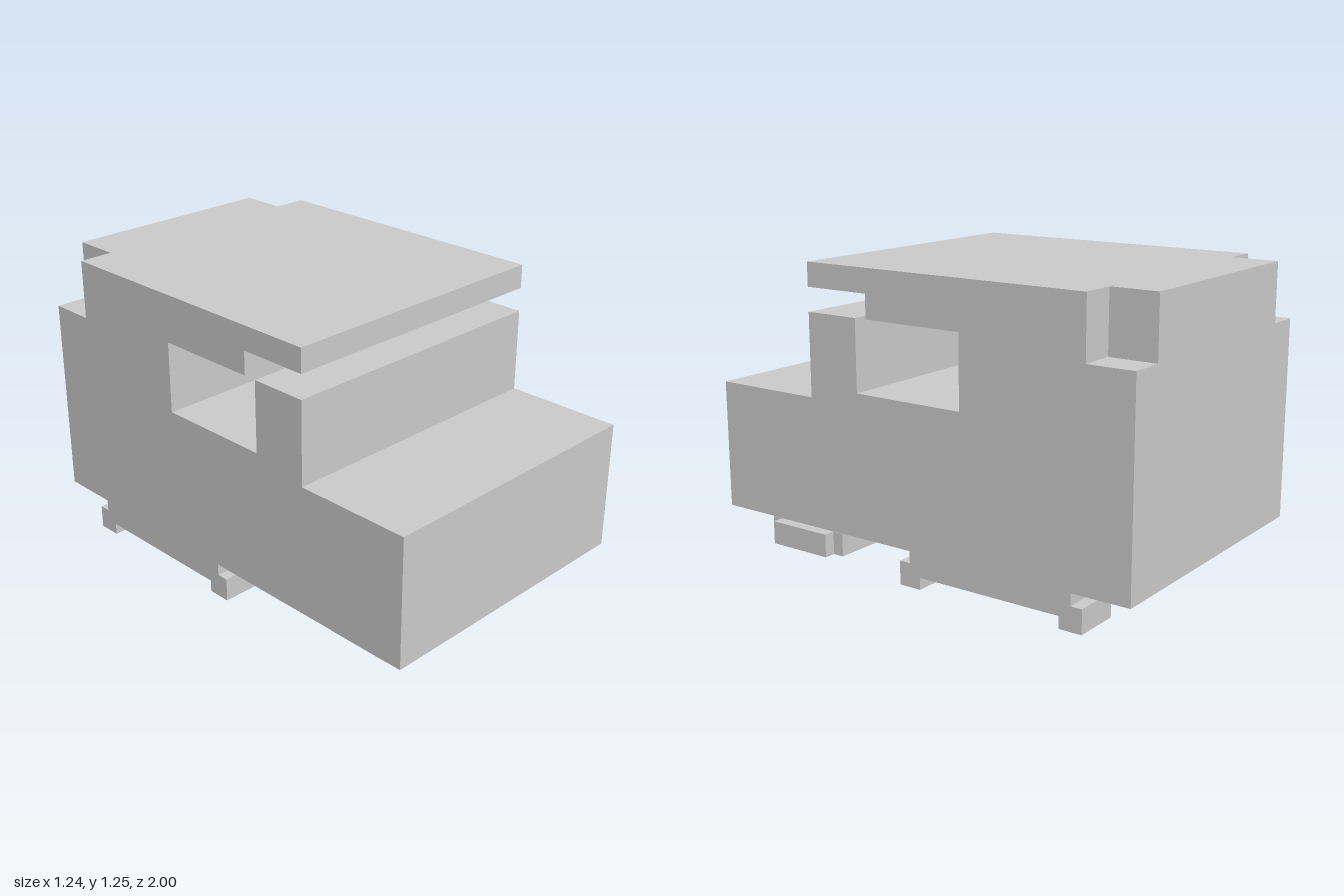
import * as THREE from 'three';

const material = new THREE.MeshStandardMaterial({ color: 0xcccccc, flatShading: true });
const HALF = 0.622; // half width of the body

export function createModel() {
  const model = new THREE.Group();

  const add = (name, geometry, parent = model) => {
    const mesh = new THREE.Mesh(geometry, material);
    mesh.name = name;
    parent.add(mesh);
  };

  // Box given by its ranges along x, y and z
  const box = (name, [x0, x1], [y0, y1], [z0, z1], parent) => {
    const g = new THREE.BoxGeometry(x1 - x0, y1 - y0, z1 - z0);
    g.translate((x0 + x1) / 2, (y0 + y1) / 2, (z0 + z1) / 2);
    add(name, g, parent);
  };

  const extrude = (points, depth) => new THREE.ExtrudeGeometry(
    new THREE.Shape(points.map(([u, v]) => new THREE.Vector2(u, v))),
    { depth, bevelEnabled: false });

  // Cab body: side profile (z, y) with the bonnet, windscreen slot and window opening
  const cab = extrude([
    [-0.8, 0.15], [1, 0.15], [1, 0.7], [0.5, 0.7], [0.5, 1.05], [0.255, 1.05],
    [0.255, 0.75], [-0.25, 0.75], [-0.25, 1.05], [0.2, 1.05], [0.2, 1.15],
    [0.5, 1.15], [0.5, 1.25], [-0.8, 1.25],
  ], HALF * 2);
  cab.translate(0, 0, -HALF).rotateY(-Math.PI / 2);
  add('cabBody', cab);

  // Rear wall: outline (x, y) with both upper corners notched
  const rear = extrude([
    [-HALF, 0.15], [HALF, 0.15], [HALF, 1], [0.475, 1], [0.475, 1.25],
    [-0.475, 1.25], [-0.475, 1], [-HALF, 1],
  ], 0.2);
  rear.translate(0, 0, -1);
  add('rearWall', rear);

  // Front foot: raised plate with a thin strip on each of its four sides
  const foot = new THREE.Group();
  foot.name = 'frontFoot';
  model.add(foot);
  box('footPlate', [-0.42, 0.52], [0.05, 0.15], [0.5, 0.8], foot);
  for (const z of [0.45, 0.8]) box('footCrossStrip', [-0.42, 0.52], [0, 0.1], [z, z + 0.05], foot);
  for (const x of [-0.47, 0.52]) box('footSideStrip', [x, x + 0.05], [0, 0.1], [0.5, 0.8], foot);

  // Rear rails: a bar on each side with a block at both ends
  for (const [name, x] of [['rightRail', [-HALF, -0.42]], ['leftRail', [0.42, HALF]]]) {
    const rail = new THREE.Group();
    rail.name = name;
    model.add(rail);
    box('railBar', x, [0.05, 0.15], [-0.75, 0], rail);
    for (const z of [-0.8, -0.05]) box('railBlock', x, [0, 0.1], [z, z + 0.1], rail);
  }

  return model;
}
